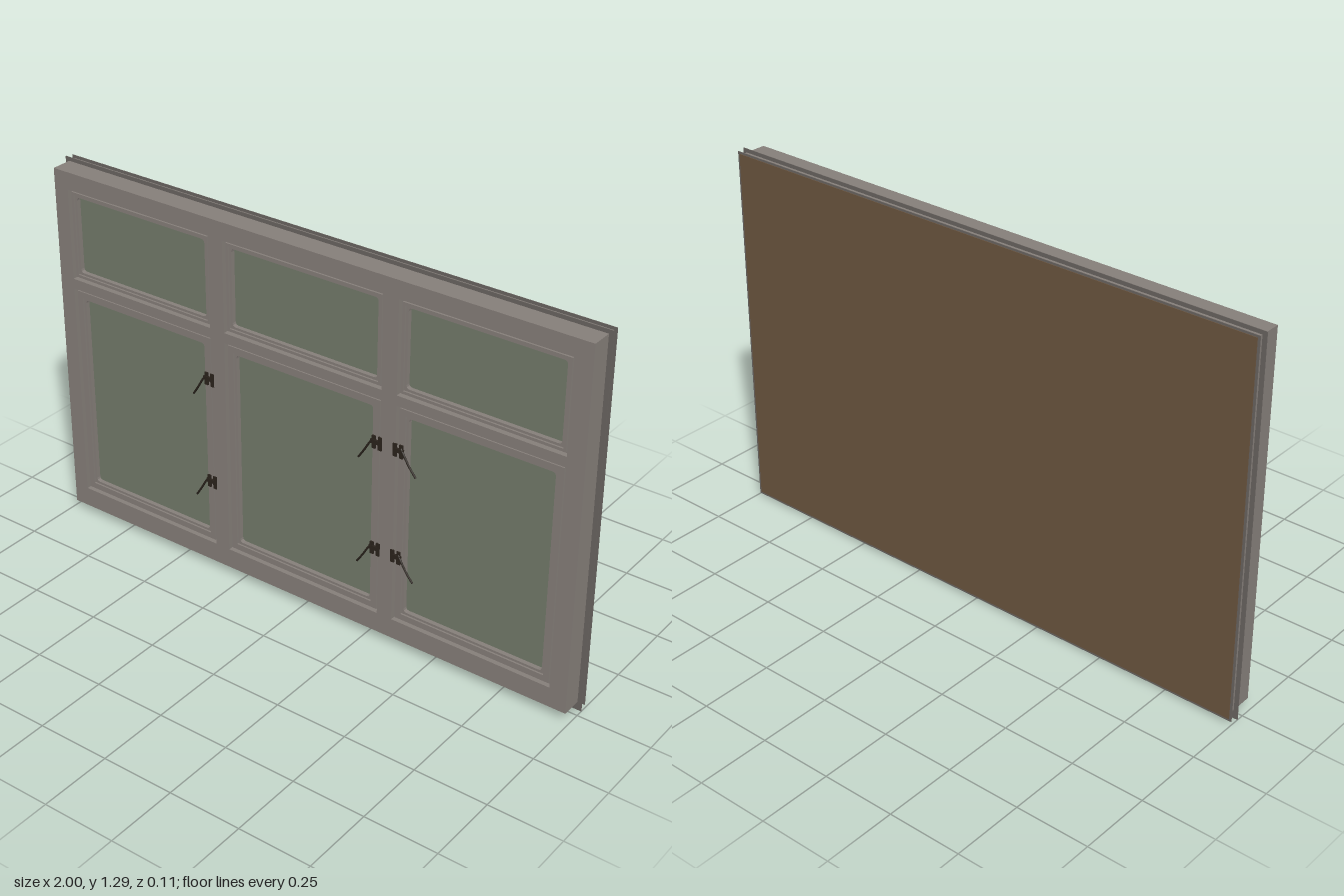
import * as THREE from 'three';

const mat = (color) => new THREE.MeshStandardMaterial({ color });
const frameMat = mat(0x857e79);
const glassMat = mat(0x727a6a);
const panelMat = mat(0x6b553f);
const handleMat = mat(0x2a231c);
const flangeMat = mat(0x6a6561);

const FRONT = 0.048;
const BACK = -0.052;

// Rectangle outline [x0, y0, x1, y1], optionally with rounded corners
function outline(target, [x0, y0, x1, y1], r = 0) {
  if (!r) {
    target.moveTo(x0, y0).lineTo(x1, y0).lineTo(x1, y1).lineTo(x0, y1).closePath();
    return target;
  }
  target.moveTo(x0 + r, y0);
  target.lineTo(x1 - r, y0).quadraticCurveTo(x1, y0, x1, y0 + r);
  target.lineTo(x1, y1 - r).quadraticCurveTo(x1, y1, x1 - r, y1);
  target.lineTo(x0 + r, y1).quadraticCurveTo(x0, y1, x0, y1 - r);
  target.lineTo(x0, y0 + r).quadraticCurveTo(x0, y0, x0 + r, y0);
  return target;
}

const inset = ([x0, y0, x1, y1], d) => [x0 + d, y0 + d, x1 - d, y1 - d];

// Plate with rectangular openings between two depths
function plate(name, rect, holes, z0, z1, material, r = 0) {
  const shape = outline(new THREE.Shape(), rect);
  for (const h of holes) shape.holes.push(outline(new THREE.Path(), h, r));
  const geo = new THREE.ExtrudeGeometry(shape, { depth: z1 - z0, bevelEnabled: false, curveSegments: 3 });
  geo.translate(0, 0, z0);
  const mesh = new THREE.Mesh(geo, material);
  mesh.name = name;
  return mesh;
}

// Window handle: mounting plates and a bowed lever pointing down to one side
function createHandle(dir) {
  const handle = new THREE.Group();
  handle.name = 'handle';
  for (const [x, h] of [[-0.011, 0.044], [0.012, 0.046]]) {
    const base = new THREE.Mesh(new THREE.BoxGeometry(0.013, h, 0.005), handleMat);
    base.position.set(x, 0, 0.001);
    base.name = 'handlePlate';
    handle.add(base);
  }
  const pivot = new THREE.Mesh(new THREE.BoxGeometry(0.03, 0.014, 0.007), handleMat);
  pivot.position.set(dir * 0.006, 0.002, 0.002);
  pivot.name = 'handlePivot';
  const curve = new THREE.CatmullRomCurve3([
    new THREE.Vector3(dir * 0.012, 0.012, 0.002),
    new THREE.Vector3(dir * 0.022, -0.002, 0.0045),
    new THREE.Vector3(dir * 0.042, -0.036, 0.0045),
    new THREE.Vector3(dir * 0.066, -0.072, 0.001),
  ]);
  const lever = new THREE.Mesh(new THREE.TubeGeometry(curve, 12, 0.0035, 6), handleMat);
  lever.name = 'handleLever';
  handle.add(pivot, lever);
  return handle;
}

export function createModel() {
  const model = new THREE.Group();
  model.name = 'window';

  // Three columns of a tall lower casement with a small transom above
  const columns = [[-0.93, -0.355], [-0.3, 0.295], [0.35, 0.925]];
  const rows = [
    { name: 'casement', y: [0.1, 0.87], rim: 0.037 },
    { name: 'transom', y: [0.905, 1.22], rim: 0.025 },
  ];
  const openings = [];
  for (const [x0, x1] of columns) {
    for (const { name, y, rim } of rows) {
      const hole = [x0, y[0], x1, y[1]];
      openings.push(hole);
      const glassRect = inset(hole, rim);
      const unit = new THREE.Group();
      unit.name = name;
      // Recessed groove, stepped sash and glazing bead
      unit.add(plate('rebate', hole, [glassRect], 0.012, 0.03, frameMat, 0.012));
      unit.add(plate('sash', inset(hole, 0.008), [inset(hole, rim - 0.008)], 0.03, 0.041, frameMat));
      unit.add(plate('glazingBead', inset(hole, rim - 0.008), [glassRect], 0.03, 0.035, frameMat, 0.012));
      unit.add(plate('glass', inset(hole, rim - 0.004), [], 0.014, 0.02, glassMat));
      model.add(unit);
    }
  }
  model.add(plate('mainFrame', [-0.985, 0.03, 0.985, 1.28], openings, BACK, FRONT, frameMat));

  // Thin flanges around the rear of the frame, and the back panel
  const inner = [-0.98, 0.035, 0.98, 1.275];
  model.add(plate('middleFlange', [-1, 0, 1, 1.293], [inner], -0.026, -0.024, flangeMat));
  model.add(plate('rearFlange', [-0.996, 0.006, 0.996, 1.29], [inner], -0.053, -0.051, flangeMat));
  model.add(plate('backPanel', [-0.988, 0.014, 0.988, 1.283], [], -0.055, -0.053, panelMat));

  // Two handles on each casement
  for (const [x, dir] of [[-0.364, -1], [0.283, -1], [0.36, 1]]) {
    for (const y of [0.72, 0.34]) {
      const handle = createHandle(dir);
      handle.position.set(x, y, FRONT);
      model.add(handle);
    }
  }
  return model;
}
